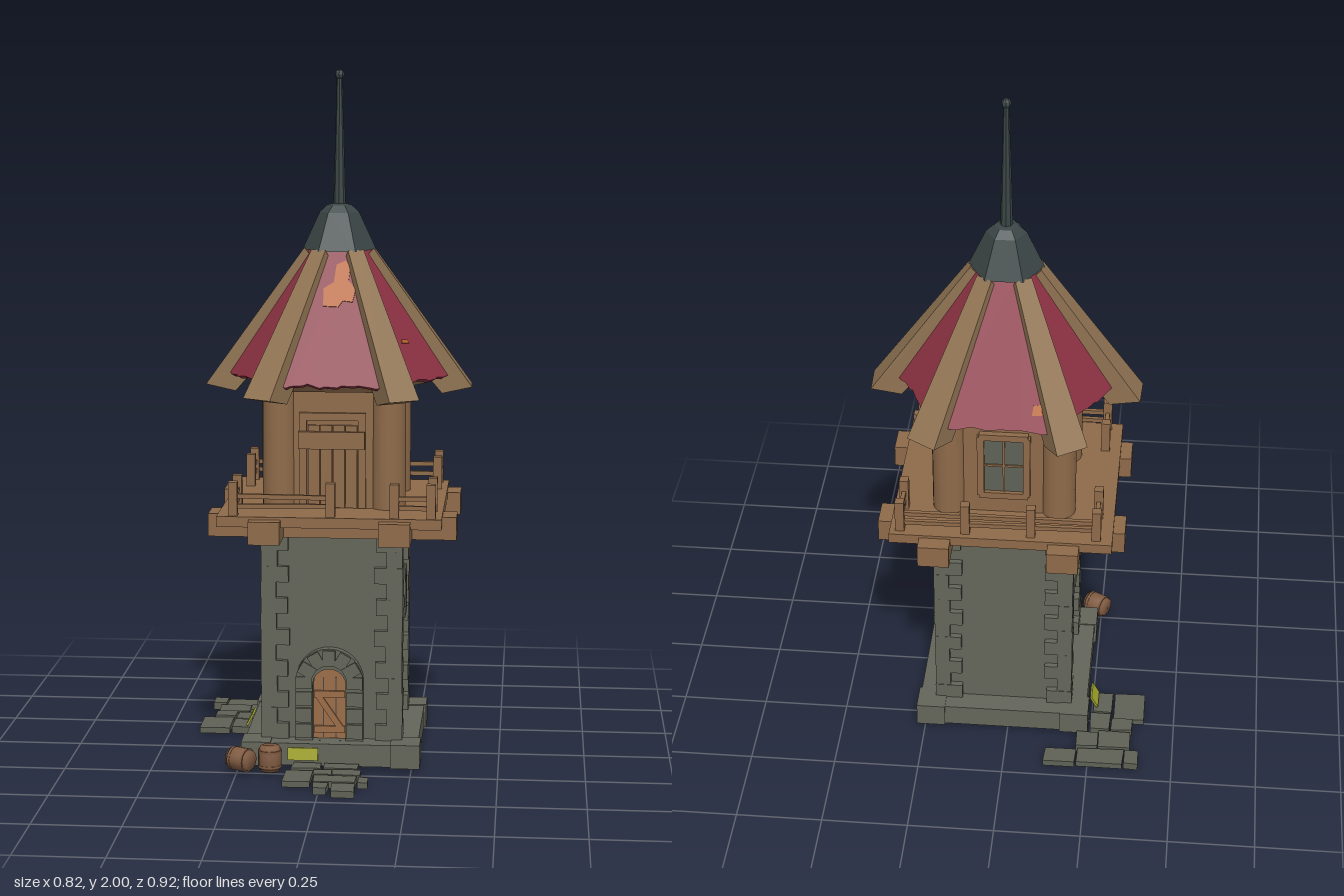
import * as THREE from 'three';

const mat = (name, color, extra = {}) => {
  const m = new THREE.MeshStandardMaterial({ color, ...extra });
  m.name = name;
  return m;
};

export function createModel() {
  const stone = mat('stone', 0x64665a);
  const paving = mat('paving', 0x5f6256);
  const wood = mat('wood', 0x8f6b4a);
  const ribWood = mat('rib wood', 0x917453);
  const doorWood = mat('door wood', 0x9c6d49);
  const barrelWood = mat('barrel wood', 0x815c42);
  const red = mat('roof red', 0x8c3242);
  const orange = mat('patch orange', 0xb8642c);
  const iron = mat('dark iron', 0x3c4646, { flatShading: true });
  const moss = mat('moss', 0xa4a82c);

  const model = new THREE.Group();
  model.name = 'watchtower';
  const tower = new THREE.Group();
  tower.name = 'tower';
  tower.position.set(0.016, 0, -0.058);
  model.add(tower);

  let seed = 7;
  const rnd = () => ((seed = (seed * 16807) % 2147483647) / 2147483647) - 0.5;
  const add = (parent, name, geo, m, x = 0, y = 0, z = 0) => {
    const mesh = new THREE.Mesh(geo, m);
    mesh.name = name;
    mesh.position.set(x, y, z);
    parent.add(mesh);
    return mesh;
  };
  // box given by its centre
  const box = (parent, name, m, w, h, d, x, y, z) =>
    add(parent, name, new THREE.BoxGeometry(w, h, d), m, x, y, z);
  const poly = (pts) => new THREE.Shape(pts.map((p) => new THREE.Vector2(...p)));
  const extrude = (shape, depth) =>
    new THREE.ExtrudeGeometry(shape, { depth, bevelEnabled: false, curveSegments: 8 });
  const square = (h) => [[-h, -h], [h, -h], [h, h], [-h, h]];
  // upright arch outline: half width, bottom, spring line
  const arch = (C, w, y0, y1) => {
    const s = new C();
    s.moveTo(-w, y0);
    s.lineTo(w, y0);
    s.lineTo(w, y1);
    s.absarc(0, y1, w, 0, Math.PI, false);
    s.lineTo(-w, y0);
    return s;
  };

  // Plinth: open ring with heavier corner stones
  const ring = poly(square(0.252));
  ring.holes.push(new THREE.Path(square(0.175).map((p) => new THREE.Vector2(...p)).reverse()));
  add(tower, 'plinth', extrude(ring, 0.065).rotateX(-Math.PI / 2), stone, 0, 0.01, 0);
  for (const sx of [-1, 1]) for (const sz of [-1, 1])
    box(tower, 'plinthCorner', stone, 0.085, 0.07, 0.085, sx * 0.216, 0.043, sz * 0.216);

  // Stone shaft with alternating corner blocks
  box(tower, 'shaft', stone, 0.376, 0.66, 0.376, 0, 0.37, 0);
  const rows = 13, rowH = 0.605 / rows;
  for (const sx of [-1, 1]) for (const sz of [-1, 1])
    for (let i = 0; i < rows; i++) {
      const a = (i % 2 ? 0.044 : 0.08) + rnd() * 0.008, o = 0.205 + rnd() * 0.002;
      box(tower, 'cornerBlock', stone, a, rowH, a, sx * (o - a / 2), 0.075 + (i + 0.5) * rowH, sz * (o - a / 2));
    }

  // Arched doorway
  const surround = arch(THREE.Shape, 0.098, 0.075, 0.25);
  surround.holes.push(arch(THREE.Path, 0.048, 0.0751, 0.24));
  const door = new THREE.Group();
  door.name = 'doorway';
  door.position.set(-0.006, 0, 0.185);
  tower.add(door);
  add(door, 'doorSurround', extrude(surround, 0.03), stone);
  for (let i = 0; i < 7; i++) {
    const a = (i / 6) * Math.PI;
    box(door, 'archStone', stone, 0.046, 0.036, 0.012,
      Math.cos(a) * 0.074, 0.247 + Math.sin(a) * 0.074, 0.029 + (i % 2) * 0.003).rotation.z = a;
  }
  for (const s of [-1, 1]) for (let i = 0; i < 3; i++)
    box(door, 'jambStone', stone, 0.048, 0.042, 0.012, s * 0.074, 0.103 + i * 0.048, 0.029 + (i % 2) * 0.003);
  add(door, 'doorLeaf', extrude(arch(THREE.Shape, 0.047, 0.077, 0.24), 0.012), doorWood);
  for (const y of [0.105, 0.21]) box(door, 'doorRail', doorWood, 0.09, 0.02, 0.008, 0, y, 0.016);
  box(door, 'doorBrace', doorWood, 0.018, 0.115, 0.007, 0, 0.157, 0.016).rotation.z = 0.6;
  for (const x of [-0.018, 0.018]) box(door, 'doorSeam', iron, 0.003, 0.18, 0.002, x, 0.17, 0.0125);

  // Arched windows on both flanks
  for (const s of [-1, 1]) {
    const win = new THREE.Group();
    win.name = 'shaftWindow';
    win.rotation.y = s * Math.PI / 2;
    win.position.set(s * 0.186, 0, -0.006);
    tower.add(win);
    const frame = arch(THREE.Shape, 0.046, 0.402, 0.51);
    frame.holes.push(arch(THREE.Path, 0.022, 0.437, 0.502));
    add(win, 'windowFrame', extrude(frame, 0.018), stone);
    add(win, 'windowPane', extrude(arch(THREE.Shape, 0.022, 0.437, 0.502), 0.005), iron);
    box(win, 'windowSill', stone, 0.05, 0.012, 0.02, 0, 0.437, 0.01);
  }

  // Balcony deck on crossed beams
  box(tower, 'deck', wood, 0.638, 0.03, 0.612, 0.0, 0.738, 0.006);
  for (const s of [-1, 1]) {
    box(tower, 'beamAcross', wood, 0.712, 0.066, 0.088, 0.003, 0.711, s * 0.186);
    box(tower, 'beamAlong', wood, 0.09, 0.066, 0.693, 0.003 + s * 0.184, 0.712, 0);
  }

  // Railings: runs of posts joined by two rails
  const rail = (ax, az, bx, bz, posts) => {
    const len = Math.hypot(bx - ax, bz - az);
    for (const y of [0.781, 0.808]) {
      const r = box(tower, 'rail', wood, len, 0.013, 0.012, (ax + bx) / 2, y, (az + bz) / 2);
      r.rotation.y = Math.atan2(az - bz, bx - ax);
      r.rotation.z = rnd() * 0.03;
    }
    for (let i = 0; i < posts; i++) {
      const t = i / (posts - 1);
      box(tower, 'railPost', wood, 0.026, 0.1, 0.026, ax + (bx - ax) * t, 0.8, az + (bz - az) * t);
    }
  };
  for (const x of [-0.273, 0.289]) {
    rail(x, -0.27, x, -0.163, 2);
    rail(x, 0.178, x, 0.29, 2);
  }
  rail(-0.273, 0.29, 0.004, 0.29, 2);
  rail(0.185, 0.29, 0.289, 0.29, 2);
  rail(-0.273, -0.27, 0.289, -0.27, 4);

  // Timber room with round corner posts
  box(tower, 'room', wood, 0.35, 0.37, 0.325, 0.002, 0.935, 0);
  for (const sx of [-1, 1]) for (const sz of [-1, 1])
    add(tower, 'cornerPost', new THREE.CylinderGeometry(0.05, 0.05, 0.37, 16), wood, 0.002 + sx * 0.157, 0.935, sz * 0.138);

  // Balcony door, boarded over
  for (const x of [-0.085, 0.085]) box(tower, 'balconyDoorJamb', wood, 0.022, 0.26, 0.02, x, 0.885, 0.165);
  box(tower, 'balconyDoorLintel', wood, 0.192, 0.022, 0.02, 0, 1.02, 0.165);
  for (let i = 0; i < 4; i++)
    box(tower, 'balconyDoorPlank', wood, 0.034, 0.24, 0.012, -0.054 + i * 0.036, 0.875, 0.163 + (i % 2) * 0.004);
  box(tower, 'doorBoard', wood, 0.19, 0.05, 0.014, -0.002, 0.953, 0.181);
  box(tower, 'wallBoard', wood, 0.018, 0.05, 0.255, 0.186, 0.915, 0.005).rotation.x = -0.68;

  // Glazed window at the back
  box(tower, 'backWindowPane', paving, 0.12, 0.19, 0.006, 0, 0.92, -0.166);
  for (const x of [-0.066, 0, 0.066])
    box(tower, 'backWindowBar', wood, x ? 0.02 : 0.006, 0.2, x ? 0.022 : 0.006, x, 0.92, -0.17);
  for (const y of [0.82, 0.92, 1.02])
    box(tower, 'backWindowBar', wood, 0.14, y === 0.92 ? 0.006 : 0.02, y === 0.92 ? 0.006 : 0.022, 0, y, -0.17);

  // Six-sided roof
  const roof = new THREE.Group();
  roof.name = 'roof';
  roof.position.set(0.006, 0, -0.003);
  tower.add(roof);
  add(roof, 'soffit', new THREE.CylinderGeometry(0.29, 0.27, 0.03, 6).rotateY(Math.PI / 6), wood, 0, 1.115, 0);
  // ragged lower edge, sloping sheet
  const panelShape = () => {
    const pts = [[0.04, 0.435], [-0.04, 0.435], [-0.1675, 0]];
    for (let i = 1; i < 7; i++) {
      const x = -0.1675 + (i / 7) * 0.335, y = rnd() * 0.012;
      pts.push([x - 0.008, y], [x + 0.004, y + rnd() * 0.012]);
    }
    pts.push([0.1675, 0]);
    return poly(pts);
  };
  // worn patches by roof side
  const patches = {
    0: [[-0.033, 0.245], [0.01, 0.243], [0.022, 0.262], [0.05, 0.258], [0.058, 0.3], [0.036, 0.325],
      [0.04, 0.37], [0.026, 0.388], [0.0, 0.375], [-0.006, 0.32], [-0.035, 0.3]],
    1: [[-0.02, 0.12], [0.015, 0.116], [0.012, 0.127], [-0.014, 0.13]],
    3: [[0.094, 0.045], [0.123, 0.048], [0.119, 0.078], [0.097, 0.074]],
  };
  for (let k = 0; k < 6; k++) {
    const side = new THREE.Group();
    side.name = 'roofSide';
    side.rotation.y = k * Math.PI / 3;
    roof.add(side);
    const sheet = new THREE.Group();
    sheet.name = 'roofSheet';
    sheet.position.set(0, 1.125, 0.29);
    sheet.rotation.x = -0.532;
    side.add(sheet);
    add(sheet, 'roofPanel', extrude(panelShape(), 0.014), red, 0, 0, -0.014);
    if (patches[k]) add(sheet, 'roofPatch', extrude(poly(patches[k]), 0.003), orange);
  }
  // ribs widen towards the eave, set slightly unevenly
  const ribPts = [[0.07, 1.455], [0.27, 1.105], [0.3, 1.07], [0.387, 1.09], [0.1, 1.49]];
  for (const deg of [2, 57, 123, 178, 237.5, 302.5]) {
    const rib = extrude(poly(ribPts), 1);
    const p = rib.attributes.position;
    for (let i = 0; i < p.count; i++) p.setZ(i, (p.getZ(i) - 0.5) * (0.035 + 0.157 * p.getX(i)));
    rib.computeVertexNormals();
    add(roof, 'roofRib', rib, ribWood).rotation.y = THREE.MathUtils.degToRad(deg);
  }

  // Iron cap and spire
  const cap = [[0, 1.48], [0.107, 1.485], [0.057, 1.593], [0.035, 1.613], [0, 1.622]];
  add(roof, 'cap', new THREE.LatheGeometry(cap.map((p) => new THREE.Vector2(...p)), 6).rotateY(Math.PI / 6), iron);
  add(roof, 'spire', new THREE.CylinderGeometry(0.008, 0.018, 0.38, 8), iron, 0, 1.795, 0);
  add(roof, 'spireTip', new THREE.SphereGeometry(0.014, 8, 6), iron, 0, 1.986, 0);

  // Paving slabs as [x0, z0, x1, z1]
  const slabs = [
    [-0.106, 0.265, -0.026, 0.372], [-0.023, 0.265, 0.026, 0.309], [0.03, 0.256, 0.113, 0.309],
    [-0.021, 0.314, 0.101, 0.37], [0.106, 0.319, 0.137, 0.37], [-0.016, 0.382, 0.026, 0.433],
    [0.038, 0.38, 0.101, 0.455], [-0.09, 0.205, -0.01, 0.258], [0.0, 0.205, 0.1, 0.25],
    [-0.4, -0.455, -0.361, -0.397], [-0.356, -0.455, -0.218, -0.394], [-0.213, -0.46, -0.12, -0.401],
    [-0.373, -0.387, -0.279, -0.316], [-0.274, -0.387, -0.213, -0.325], [-0.373, -0.309, -0.313, -0.26],
    [-0.41, -0.253, -0.315, -0.139], [-0.308, -0.305, -0.25, -0.235], [-0.309, -0.23, -0.255, -0.146]];
  for (const [a, b, c, d] of slabs) {
    const j = () => rnd() * 0.006;
    const s = poly([[a + j(), -d + j()], [c + j(), -d + j()], [c + j(), -b + j()], [a + j(), -b + j()]]);
    add(model, 'pavingSlab', extrude(s, 0.02 + rnd() * 0.006).rotateX(-Math.PI / 2), paving);
  }

  // Moss leaning on the plinth
  box(model, 'moss', moss, 0.088, 0.036, 0.006, -0.063, 0.046, 0.202).rotation.x = -0.15;
  box(model, 'moss', moss, 0.006, 0.04, 0.07, -0.256, 0.043, -0.18).rotation.z = -0.5;

  // Barrels with wooden hoops
  const barrel = (x, y, z) => {
    const g = new THREE.Group();
    g.name = 'barrel';
    g.position.set(x, y, z);
    model.add(g);
    const prof = [[0, -0.036], [0.028, -0.036], [0.034, -0.015], [0.034, 0.015], [0.028, 0.036], [0, 0.036]];
    add(g, 'barrelBody', new THREE.LatheGeometry(prof.map((p) => new THREE.Vector2(...p)), 12), barrelWood);
    for (const h of [-0.022, 0.022])
      add(g, 'barrelHoop', new THREE.CylinderGeometry(0.0345, 0.0345, 0.008, 12), barrelWood, 0, h, 0);
    return g;
  };
  barrel(-0.153, 0.047, 0.25);
  barrel(-0.236, 0.046, 0.262).rotation.set(0, -0.5, Math.PI / 2);

  return model;
}
